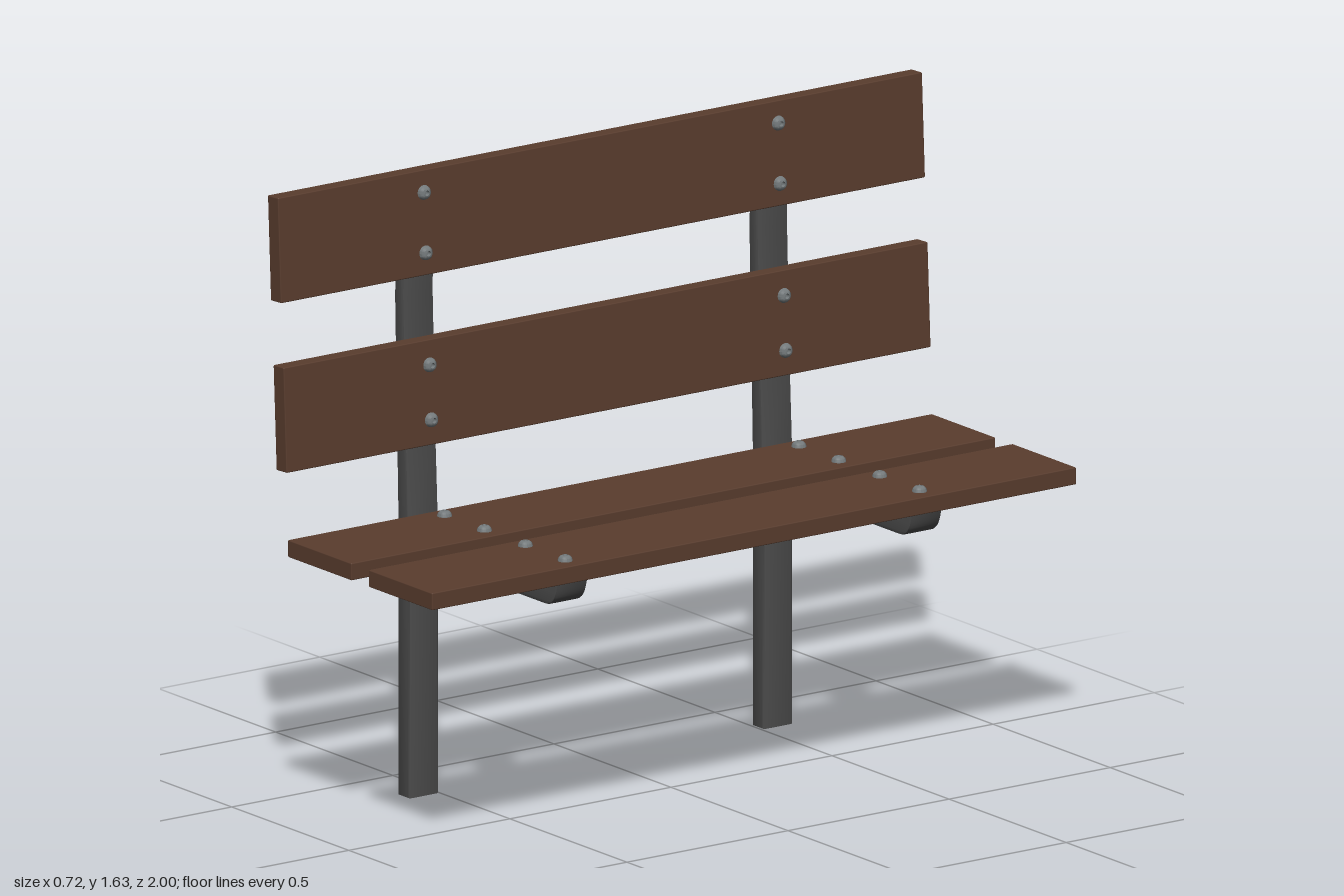
import * as THREE from 'three';
import { toCreasedNormals } from 'three/addons/utils/BufferGeometryUtils.js';
import { RoundedBoxGeometry } from 'three/addons/geometries/RoundedBoxGeometry.js';

const wood = new THREE.MeshStandardMaterial({ color: 0x5a3d2e });
const steel = new THREE.MeshStandardMaterial({ color: 0x4c4c4c });
const boltMetal = new THREE.MeshStandardMaterial({ color: 0x747a7c });

const SUPPORT_Z = 0.55, SUPPORT_WIDTH = 0.095;
const SLAT_WIDTH = 0.272, SLAT_THICK = 0.045;

function addMesh(parent, name, geometry, material) {
  const mesh = new THREE.Mesh(geometry, material);
  mesh.name = name;
  parent.add(mesh);
  return mesh;
}

// Post with a cantilevered seat arm, as one bevelled side profile
function supportGeometry() {
  const s = new THREE.Shape();
  s.moveTo(-0.345, 0);
  s.lineTo(-0.3, 0);
  s.lineTo(-0.3, 0.575);
  s.bezierCurveTo(-0.265, 0.625, -0.235, 0.64, -0.17, 0.64); // gusset under the arm
  s.lineTo(0.275, 0.64);
  s.bezierCurveTo(0.32, 0.64, 0.328, 0.665, 0.338, 0.705);   // rounded arm tip
  s.lineTo(-0.3, 0.705);
  s.lineTo(-0.31, 0.92);
  s.lineTo(-0.322, 1.3);
  s.lineTo(-0.32, 1.59);
  s.lineTo(-0.345, 1.59);
  s.quadraticCurveTo(-0.356, 1.43, -0.36, 1.3);              // post tapers behind the top slat
  s.lineTo(-0.345, 0.7);
  s.closePath();
  const bevel = 0.006;
  const g = new THREE.ExtrudeGeometry(s, {
    depth: SUPPORT_WIDTH - 2 * bevel, curveSegments: 10,
    bevelEnabled: true, bevelSize: bevel, bevelThickness: bevel, bevelOffset: -bevel, bevelSegments: 2,
  });
  g.translate(0, 0, -SUPPORT_WIDTH / 2 + bevel);
  return toCreasedNormals(g, 0.6);
}

// Domed bolt head with a small socket
function boltGeometry() {
  const profile = [[0, 0.005], [0.006, 0.005], [0.007, 0.015], [0.012, 0.013], [0.017, 0.008], [0.019, 0.002], [0.019, -0.004]];
  const points = profile.map(([r, y]) => new THREE.Vector2(r, y)).reverse();
  return toCreasedNormals(new THREE.LatheGeometry(points, 16), 0.7);
}

export function createModel() {
  const bench = new THREE.Group();
  bench.name = 'bench';

  const support = supportGeometry();
  for (const side of [-1, 1]) {
    addMesh(bench, side < 0 ? 'rearSupport' : 'frontSupport', support, steel).position.z = side * SUPPORT_Z;
  }

  // Slats lie flat in their own frame; back slats are turned upright
  const upright = 0.048 - Math.PI / 2;
  const slats = [
    { name: 'innerSeatSlat', x: -0.125, y: 0.728, turn: 0, bolt: 0.085 },
    { name: 'outerSeatSlat', x: 0.22, y: 0.728, turn: 0, bolt: 0.085 },
    { name: 'lowerBackSlat', x: -0.294, y: 1.058, turn: upright, bolt: 0.071 },
    { name: 'upperBackSlat', x: -0.318, y: 1.495, turn: upright, bolt: 0.078 },
  ];
  const plank = new RoundedBoxGeometry(SLAT_WIDTH, SLAT_THICK, 2, 1, 0.003);
  const bolt = boltGeometry();
  for (const { name, x, y, turn, bolt: offset } of slats) {
    const slat = new THREE.Group();
    slat.name = name;
    slat.position.set(x, y, 0);
    slat.rotation.z = turn;
    addMesh(slat, 'plank', plank, wood);
    for (const z of [-SUPPORT_Z, SUPPORT_Z]) {
      for (const side of [-1, 1]) {
        addMesh(slat, 'bolt', bolt, boltMetal).position.set(side * offset, SLAT_THICK / 2, z);
      }
    }
    bench.add(slat);
  }
  return bench;
}
